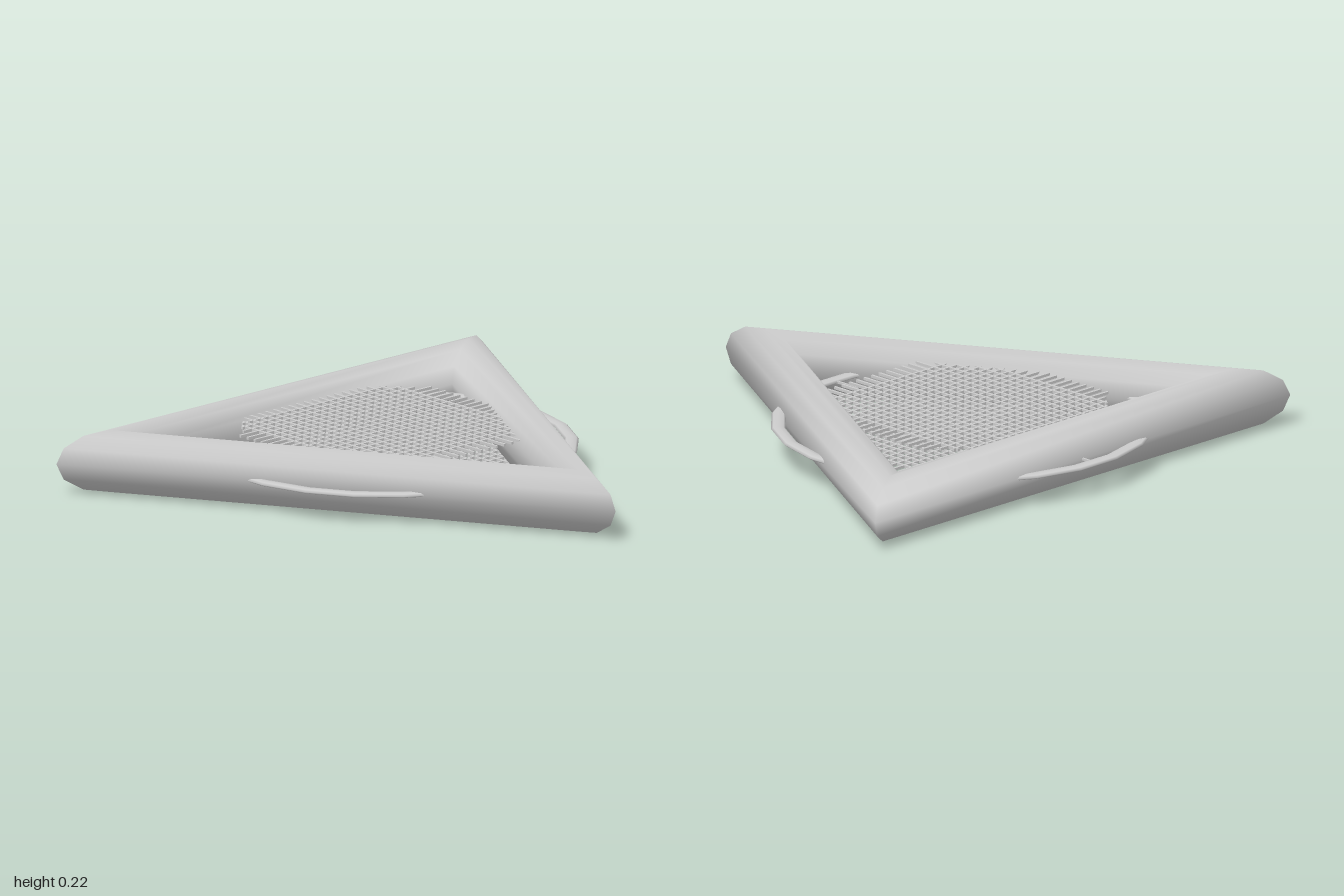
import * as THREE from 'three';

const CX = -0.248; // shared centre of frame, ring, meshes and star
const CY = 0.11;

export function createModel() {
  const model = new THREE.Group();
  const core = new THREE.Group();
  core.name = 'triangleEmblem';
  core.position.set(CX, CY, 0);
  model.add(core);
  const grey = new THREE.MeshStandardMaterial({ color: 0xcccccc });

  const add = (name, geometry, parent = core) => {
    const mesh = new THREE.Mesh(geometry, grey);
    mesh.name = name;
    parent.add(mesh);
    return mesh;
  };

  // Torus lying flat, squashed to a given half height
  const flatTorus = (radius, tube, halfHeight, sides, segments, turn = 0) =>
    new THREE.TorusGeometry(radius, tube, sides, segments)
      .rotateX(Math.PI / 2)
      .rotateY(turn)
      .scale(1, halfHeight / tube, 1);

  // Thick three-sided frame, pointing to +x
  add('triangleFrame', flatTorus(0.964, 0.189, 0.11, 12, 3));

  // Thin ring passing through the frame
  add('ring', flatTorus(0.638, 0.025, 0.009, 8, 24, Math.PI / 24));

  // Four short pointers just inside the ring
  for (let i = 0; i < 4; i++) {
    add('pointer', new THREE.BoxGeometry(0.11, 0.008, 0.007)
      .translate(0.565, 0, 0)
      .rotateY(i * Math.PI / 2));
  }

  // Upper and lower woven meshes of crossing bars, trimmed to a rounded outline
  for (const [name, y] of [['upperMesh', 0.06], ['lowerMesh', -0.06]]) {
    const grid = new THREE.Group();
    grid.name = name;
    grid.position.y = y;
    core.add(grid);
    for (let i = -10; i <= 10; i++) {
      const d = i * 0.0357;
      const half = Math.abs(i) <= 7 ? 0.445 : Math.sqrt(0.49 ** 2 - d * d);
      add('gridRow', new THREE.BoxGeometry(2 * half, 0.009, 0.009).translate(0, 0, d), grid);
      add('gridColumn', new THREE.BoxGeometry(0.009, 0.009, 2 * half).translate(d, 0, 0), grid);
    }
  }

  // Four-pointed star from two crossed flat ellipsoids, between the meshes
  for (const [length, turn] of [[0.315, 0], [0.33, Math.PI / 2]]) {
    add('starArm', new THREE.SphereGeometry(1, 12, 8)
      .scale(length, 0.012, 0.08)
      .rotateY(turn));
  }

  return model;
}
